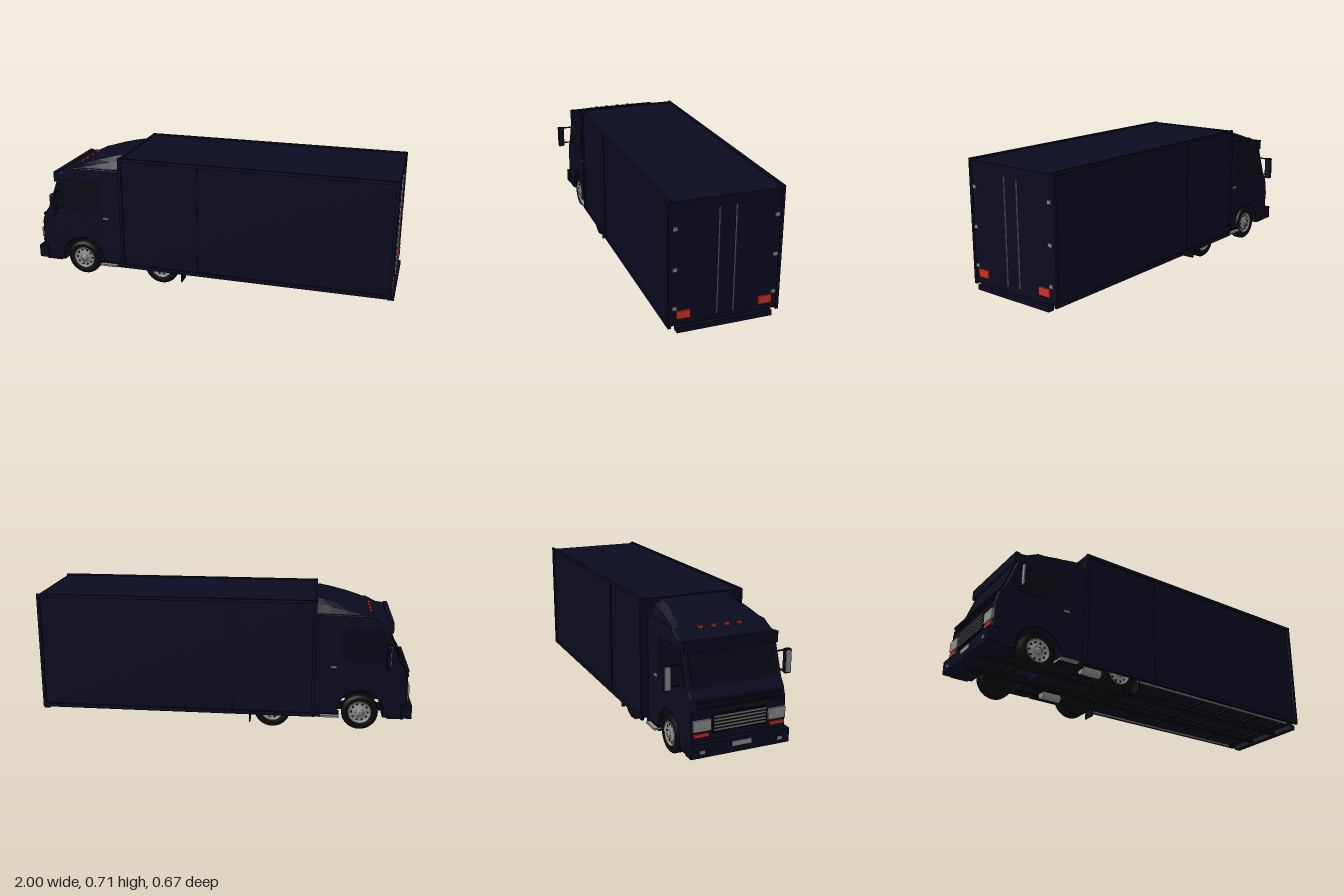
import * as THREE from 'three';

const mat = (name, color, side = THREE.FrontSide) => {
  const m = new THREE.MeshStandardMaterial({ color, side });
  m.name = name;
  return m;
};

export function createModel() {
  const navy = mat('navy paint', 0x0b0b20);
  const trim = mat('dark trim', 0x07070f);
  const glass = mat('dark glass', 0x090916);
  const rubber = mat('tyre rubber', 0x08080a);
  const silver = mat('silver metal', 0x8c8c8c);
  const red = mat('red lamp', 0xd03024);

  const truck = new THREE.Group();
  truck.name = 'boxTruck';
  const add = (name, geo, m, x = 0, y = 0, z = 0, parent = truck) => {
    const mesh = new THREE.Mesh(geo, m);
    mesh.name = name;
    mesh.position.set(x, y, z);
    parent.add(mesh);
    return mesh;
  };
  // Box given by its limits on each axis
  const block = (name, m, x0, x1, y0, y1, z0, z1, parent = truck) =>
    add(name, new THREE.BoxGeometry(x1 - x0, y1 - y0, z1 - z0), m,
      (x0 + x1) / 2, (y0 + y1) / 2, (z0 + z1) / 2, parent);
  const shapeOf = (pts) => new THREE.Shape(pts.map(([x, y]) => new THREE.Vector2(x, y)));

  // Cab: side profile with open wheel arches, extruded across the width
  const axleX = -0.73, axleY = 0.098;
  const cab = shapeOf([[-0.96, 0.075], [-0.975, 0.15], [-0.972, 0.3], [-0.955, 0.35],
    [-0.93, 0.385], [-0.868, 0.55], [-0.868, 0.59], [-0.82, 0.597], [-0.76, 0.627],
    [-0.48, 0.632], [-0.48, 0.075], [-0.612, 0.075]]);
  cab.absarc(axleX, axleY, 0.12, -0.19, Math.PI + 0.19, false);
  cab.closePath();
  const bevel = 0.008;
  add('cab', new THREE.ExtrudeGeometry(cab, {
    depth: 0.49 - bevel * 2, bevelThickness: bevel, bevelSize: 0.004, bevelOffset: -0.004,
    bevelSegments: 2, curveSegments: 24,
  }), navy, 0, 0, -0.245 + bevel);

  // Roof fairing: cross-sections rising and narrowing slightly toward the cargo box
  const sections = [[-0.78, 0.618, 0.235], [-0.72, 0.644, 0.232], [-0.64, 0.67, 0.225],
    [-0.56, 0.692, 0.215], [-0.51, 0.703, 0.21], [-0.48, 0.705, 0.21]];
  const pos = [], idx = [];
  for (const [x, y, w] of sections) {
    const drop = (y - 0.61) * 0.3;
    pos.push(x, 0.61, 0.24, x, y - drop, w, x, y, w - 0.035,
      x, y, 0.035 - w, x, y - drop, -w, x, 0.61, -0.24);
  }
  for (let i = 0; i < sections.length - 1; i++) {
    for (let j = 0; j < 5; j++) {
      const a = i * 6 + j, b = a + 6;
      idx.push(a, b, a + 1, b, b + 1, a + 1);
    }
  }
  const fairing = new THREE.BufferGeometry();
  fairing.setAttribute('position', new THREE.Float32BufferAttribute(pos, 3));
  fairing.setIndex(idx);
  const fairingFlat = fairing.toNonIndexed();
  fairingFlat.computeVertexNormals();
  add('roofFairing', fairingFlat, mat('fairing paint', 0x0b0b20, THREE.DoubleSide));

  // Windscreen, visor, bumper and nose details
  const lean = Math.atan2(0.062, 0.165);
  const screen = add('windscreen', new THREE.BoxGeometry(0.006, 0.155, 0.44), glass, -0.9, 0.468, 0);
  screen.rotation.z = -lean;
  block('sunVisor', navy, -0.885, -0.86, 0.54, 0.595, -0.245, 0.245);
  block('frontBumper', navy, -1, -0.945, 0.08, 0.15, -0.26, 0.255);
  block('bumperReturn', navy, -0.96, -0.87, 0.07, 0.1, -0.245, 0.245);
  block('numberPlate', silver, -1.003, -1, 0.112, 0.135, -0.05, 0.05);
  block('grilleBack', trim, -0.98, -0.97, 0.185, 0.275, -0.14, 0.14);
  for (let i = 0; i < 5; i++) {
    const y = 0.195 + i * 0.016;
    block('grilleBar', silver, -0.984, -0.98, y, y + 0.006, -0.135, 0.135);
  }
  for (const y of [0.3, 0.325]) block('noseRib', trim, -0.978, -0.955, y, y + 0.012, -0.22, 0.22);
  for (const z of [-0.105, -0.035, 0.035, 0.1])
    block('roofMarker', red, -0.778, -0.764, 0.617, 0.632, z - 0.011, z + 0.011);

  for (const s of [-1, 1]) {
    const side = new THREE.Group();
    side.name = s > 0 ? 'leftSideFittings' : 'rightSideFittings';
    truck.add(side);
    const part = (name, m, x0, x1, y0, y1, z0, z1) =>
      block(name, m, x0, x1, y0, y1, Math.min(s * z0, s * z1), Math.max(s * z0, s * z1), side);
    part('headlight', silver, -0.983, -0.972, 0.2, 0.255, 0.15, 0.24);
    part('turnSignal', red, -0.983, -0.972, 0.172, 0.188, 0.16, 0.235);
    part('fogLight', silver, -1.003, -0.999, 0.1, 0.116, 0.19, 0.215);
    part('doorHandle', silver, -0.6, -0.567, 0.344, 0.355, 0.245, 0.253);
    part('cabStep', silver, -0.62, -0.52, 0.075, 0.085, 0.2, 0.272);
    part('sill', trim, -0.62, -0.48, 0.068, 0.092, 0.2, 0.25);
    const pane = new THREE.ExtrudeGeometry(shapeOf([[-0.9, 0.385], [-0.62, 0.385], [-0.62, 0.555],
      [-0.85, 0.555]]), { depth: 0.004, bevelEnabled: false });
    add('sideWindow', pane, glass, 0, 0, s > 0 ? 0.2435 : -0.2475, side);

    // Door mirror on two arms
    const housing = new THREE.Shape();
    const w = 0.0175, h = 0.0615, r = 0.007;
    housing.moveTo(-w + r, -h);
    housing.lineTo(w - r, -h);
    housing.quadraticCurveTo(w, -h, w, -h + r);
    housing.lineTo(w, h - r);
    housing.quadraticCurveTo(w, h, w - r, h);
    housing.lineTo(-w + r, h);
    housing.quadraticCurveTo(-w, h, -w, h - r);
    housing.lineTo(-w, -h + r);
    housing.quadraticCurveTo(-w, -h, -w + r, -h);
    const mirror = add('mirrorHousing', new THREE.ExtrudeGeometry(housing,
      { depth: 0.02, bevelEnabled: false }), navy, -0.87, 0.432, s * 0.3175, side);
    mirror.rotation.y = Math.PI / 2;
    part('mirrorPlate', silver, -0.874, -0.87, 0.378, 0.488, 0.304, 0.331);
    for (const y of [0.39, 0.488]) part('mirrorArm', trim, -0.864, -0.856, y - 0.003, y + 0.003, 0.235, 0.31);

    // Underbody fittings
    part('sideRail', silver, -0.15, 0.92, 0.072, 0.081, 0.245, 0.256);
    part('mudFlap', trim, -0.148, -0.142, 0.025, 0.09, 0.185, 0.257);
    part('chassisRail', trim, -0.95, 0.97, 0.062, 0.1, 0.075, 0.105);
    const tank = add('fuelTank', new THREE.CylinderGeometry(0.028, 0.028, 0.11, 20), silver, -0.41, 0.085, s * 0.2, side);
    tank.rotation.z = Math.PI / 2;
  }

  // Wheels: turned tyre, rim dish, hand holes and hub
  const tyre = new THREE.LatheGeometry([[0.058, -0.026], [0.075, -0.031], [0.09, -0.029],
    [0.097, -0.02], [0.097, 0.02], [0.09, 0.029], [0.075, 0.031], [0.058, 0.026]]
    .map(([x, y]) => new THREE.Vector2(x, y)), 36);
  const rim = new THREE.LatheGeometry([[0.062, 0.022], [0.062, 0.029], [0.057, 0.03], [0.052, 0.02],
    [0.034, 0.023], [0.026, 0.03], [0.016, 0.031], [0.014, 0.038], [0, 0.039]]
    .map(([x, y]) => new THREE.Vector2(x, y)), 32);
  const hole = new THREE.CylinderGeometry(0.0055, 0.0055, 0.004, 10);
  const nut = new THREE.CylinderGeometry(0.0022, 0.0022, 0.006, 6);
  const open = mat('rim metal', 0x8c8c8c, THREE.DoubleSide);
  const tyreMat = mat('tyre wall', 0x08080a, THREE.DoubleSide);
  const wheel = (name, x, z, s, outer) => {
    const g = new THREE.Group();
    g.name = name;
    g.position.set(x, axleY, z);
    g.rotation.x = s * Math.PI / 2;
    truck.add(g);
    add('tyre', tyre, tyreMat, 0, 0, 0, g);
    add('innerDisc', new THREE.CylinderGeometry(0.06, 0.06, 0.03, 28), rubber, 0, 0, 0, g);
    if (!outer) return;
    add('rim', rim, open, 0, 0, 0, g);
    for (let i = 0; i < 10; i++) {
      const a = i * Math.PI / 5, c = Math.cos(a), d = Math.sin(a);
      add('handHole', hole, trim, c * 0.044, 0.0215, d * 0.044, g);
      add('wheelNut', nut, silver, c * 0.021, 0.032, d * 0.021, g);
    }
  };
  for (const s of [-1, 1]) {
    wheel('frontWheel', axleX, s * 0.212, s, true);
    wheel('rearOuterWheel', -0.265, s * 0.218, s, true);
    wheel('rearInnerWheel', -0.265, s * 0.151, s, false);
  }
  for (const x of [axleX, -0.265]) {
    const axle = add('axle', new THREE.CylinderGeometry(0.018, 0.018, 0.4, 14), trim, x, axleY, 0);
    axle.rotation.x = Math.PI / 2;
  }

  // Cargo box with edge rails and posts
  const cargo = new THREE.Group();
  cargo.name = 'cargoBox';
  cargo.position.z = -0.005;
  truck.add(cargo);
  block('cargoBody', navy, -0.485, 0.985, 0.09, 0.703, -0.27, 0.27, cargo);
  for (const s of [-1, 1]) {
    const strip = (name, x0, x1, y0, y1) =>
      block(name, navy, x0, x1, y0, y1, s * 0.2725 - 0.0075, s * 0.2725 + 0.0075, cargo);
    strip('topRail', -0.49, 0.988, 0.694, 0.711);
    strip('bottomRail', -0.49, 0.988, 0.08, 0.1);
    strip('frontPost', -0.49, -0.472, 0.08, 0.711);
    strip('rearPost', 0.972, 0.988, 0.085, 0.711);
    block('panelSeam', trim, -0.053, -0.047, 0.1, 0.694, s * 0.271 - 0.002, s * 0.271 + 0.002, cargo);
    // Rear doors: hinges, lock bars and lamps
    for (const y of [0.18, 0.376, 0.575])
      block('doorHinge', silver, 0.984, 0.99, y - 0.009, y + 0.009, s * 0.248 - 0.011, s * 0.248 + 0.011, cargo);
    block('lockBar', silver, 0.984, 0.991, 0.118, 0.653, s * 0.041 - 0.005, s * 0.041, cargo);
    block('tailLamp', red, 0.984, 0.992, 0.125, 0.166, s * 0.205 - 0.034, s * 0.205 + 0.034, cargo);
  }
  block('frontHeader', navy, -0.49, -0.475, 0.69, 0.708, -0.27, 0.27, cargo);
  block('rearBumper', navy, 0.965, 1, 0.058, 0.086, -0.24, 0.24, cargo);
  for (let x = -0.1; x < 0.95; x += 0.2) block('floorBeam', trim, x, x + 0.02, 0.08, 0.092, -0.26, 0.26, cargo);

  return truck;
}
